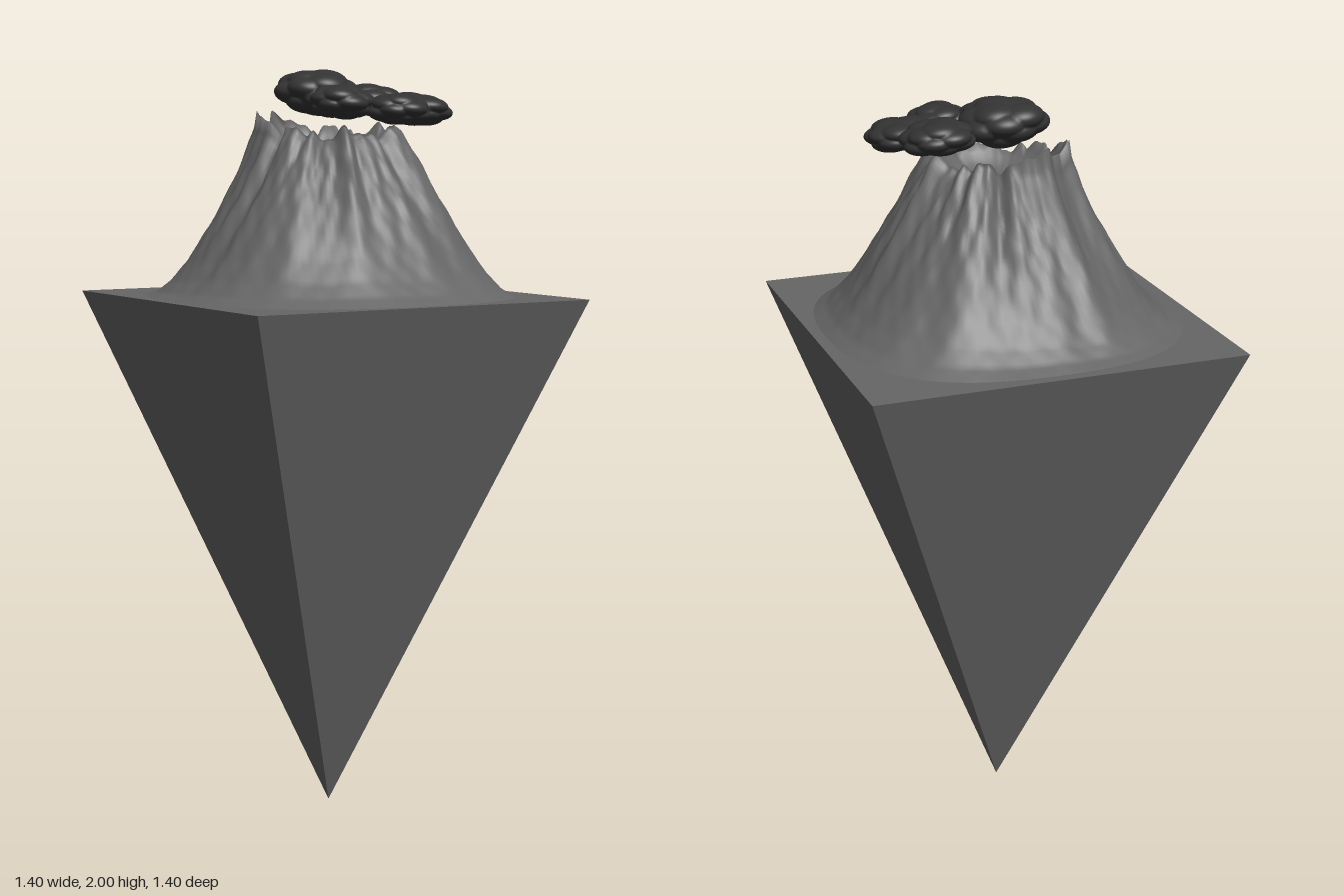
import * as THREE from 'three';
import { mergeVertices } from 'three/addons/utils/BufferGeometryUtils.js';

const BASE_Y = 1.4;
const rock = new THREE.MeshStandardMaterial({ color: 0x666666 });
const flatRock = new THREE.MeshStandardMaterial({ color: 0x666666, flatShading: true });
const smoke = new THREE.MeshStandardMaterial({ color: 0x333333 });

// Piecewise linear lookup of y at x
function lookup(points, x) {
  for (let i = 1; i < points.length; i++) {
    const [x0, y0] = points[i - 1], [x1, y1] = points[i];
    if (x <= x1) return y0 + (y1 - y0) * (x - x0) / (x1 - x0);
  }
  return points[points.length - 1][1];
}

// Slope from crater rim (0) to foot (1), as a fraction of the mountain's height
const SLOPE = [[0, 1], [0.07, 0.95], [0.15, 0.85], [0.3, 0.67], [0.5, 0.44], [0.64, 0.27], [0.77, 0.14], [0.89, 0.05], [1, 0]];

// Point on the mountain: v < 0 inside the crater, v from 0 to 1 down the slope
function mountainPoint(angle, v) {
  const c = Math.cos(angle), s = Math.sin(angle);
  const left = Math.max(0, -c) ** 2;
  const foot = 0.5 - 0.035 * Math.sin(2 * angle) ** 2;
  const jag = 0.011 * Math.sin(7 * angle + 1) + 0.009 * Math.sin(13 * angle) + 0.006 * Math.sin(23 * angle + 2);
  const rimR = 0.135 + 0.035 * c * c + 0.015 * left + jag * 0.5;
  const rimY = 1.835 + 0.04 * left - 0.01 * Math.max(0, s) + jag;
  let r, y;
  if (v < 0) {
    const k = 1 + v;
    r = rimR * k;
    y = 1.76 + (rimY - 1.76) * k ** 4;
  } else {
    r = rimR + (foot - rimR) * v;
    const h = lookup(SLOPE, v) - 0.17 * left * Math.sin(Math.PI * Math.sqrt(v));
    y = BASE_Y + (rimY - BASE_Y) * h;
    // Gullies and rough rock, fading out at rim and foot
    const fade = Math.min(1, v * 6) * (1 - v);
    const gully = Math.sin(11 * angle + 3 * v) + 0.8 * Math.sin(19 * angle - 5 * v + 1)
      + 0.6 * Math.sin(31 * angle + 14 * v) * Math.sin(21 * v + 5 * angle)
      + 0.5 * Math.sin(43 * angle - 25 * v);
    y += 0.008 * fade * gully;
  }
  return [r * c, y, r * s];
}

function mountainGeometry() {
  const around = 160, rows = 56, craterRows = 12;
  const positions = [], index = [];
  for (let i = 0; i <= rows; i++) {
    const v = i < craterRows ? i / craterRows - 1 : (i - craterRows) / (rows - craterRows);
    for (let j = 0; j < around; j++) positions.push(...mountainPoint(j / around * Math.PI * 2, v));
  }
  for (let i = 0; i < rows; i++) {
    for (let j = 0; j < around; j++) {
      const k = (j + 1) % around;
      const a = i * around + j, b = i * around + k, c = a + around, d = b + around;
      if (i > 0) index.push(a, b, c);
      index.push(b, d, c);
    }
  }
  const geometry = new THREE.BufferGeometry();
  geometry.setAttribute('position', new THREE.Float32BufferAttribute(positions, 3));
  geometry.setIndex(index);
  geometry.computeVertexNormals();
  return geometry;
}

// Lumpy ball: the outer surface of many overlapping spheres
function puffGeometry(seed) {
  const lumps = [];
  const count = 16;
  for (let i = 0; i < count; i++) {
    const y = 1 - 2 * (i + 0.5) / count, ring = Math.sqrt(1 - y * y);
    const a = i * 2.39996 + seed * 1.7;
    const reach = 0.5 + 0.05 * Math.sin(i * 5.1 + seed * 3);
    lumps.push(new THREE.Vector3(ring * Math.cos(a), y, ring * Math.sin(a)).multiplyScalar(reach));
  }
  let geometry = new THREE.IcosahedronGeometry(1, 16);
  geometry.deleteAttribute('uv');
  geometry.deleteAttribute('normal');
  geometry = mergeVertices(geometry, 1e-4);
  const p = geometry.attributes.position, dir = new THREE.Vector3();
  for (let i = 0; i < p.count; i++) {
    dir.fromBufferAttribute(p, i).normalize();
    let r = 0;
    for (const lump of lumps) {
      const b = dir.dot(lump);
      r = Math.max(r, b + Math.sqrt(b * b - lump.lengthSq() + 0.32));
    }
    dir.multiplyScalar(r * 0.96);
    p.setXYZ(i, dir.x, dir.y, dir.z);
  }
  geometry.computeVertexNormals();
  return geometry;
}

export function createModel() {
  const model = new THREE.Group();
  model.name = 'floatingVolcano';

  // Upside-down pyramid with its corners on the x and z axes
  const base = new THREE.Mesh(new THREE.ConeGeometry(0.7, BASE_Y, 4), flatRock);
  base.name = 'pyramidBase';
  base.rotation.x = Math.PI;
  base.position.y = BASE_Y / 2;
  model.add(base);

  const mountain = new THREE.Mesh(mountainGeometry(), rock);
  mountain.name = 'volcano';
  model.add(mountain);

  // Sloping ring of flattened smoke puffs: x, y, z, radius, half height
  const ring = new THREE.Group();
  ring.name = 'smokeRing';
  const puffs = [
    [-0.04, 1.938, -0.045, 0.111, 0.061],
    [0.07, 1.918, -0.19, 0.094, 0.045],
    [0.21, 1.894, -0.11, 0.097, 0.044],
    [0.205, 1.89, 0.075, 0.085, 0.042],
    [0.06, 1.91, 0.105, 0.09, 0.045],
  ];
  puffs.forEach(([x, y, z, radius, half], i) => {
    const puff = new THREE.Mesh(puffGeometry(i), smoke);
    puff.name = 'smokePuff' + (i + 1);
    puff.position.set(x, y, z);
    puff.scale.set(radius, half, radius);
    puff.rotation.z = -0.08;
    ring.add(puff);
  });
  model.add(ring);

  return model;
}
